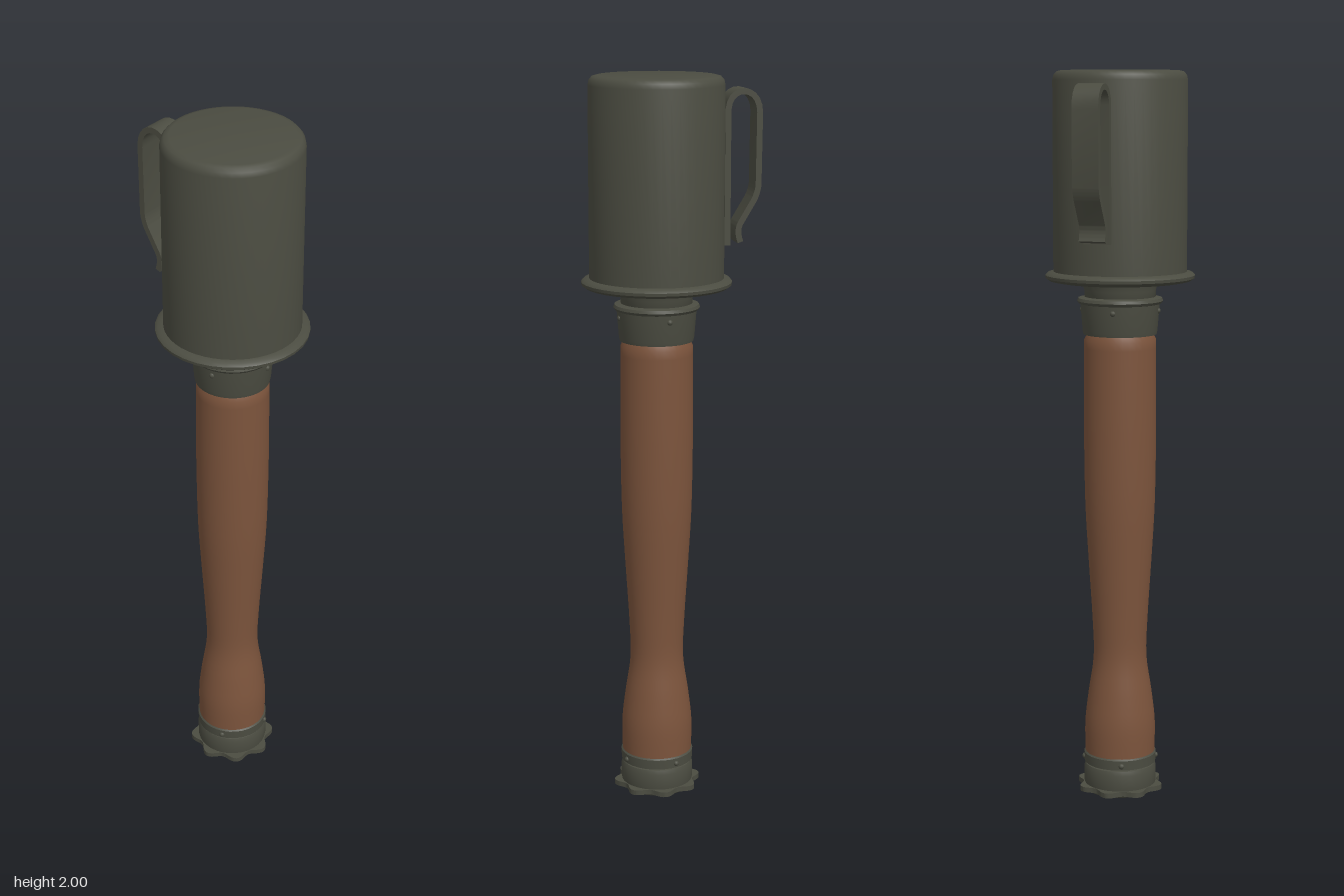
import * as THREE from 'three';
import { toCreasedNormals } from 'three/addons/utils/BufferGeometryUtils.js';

export function createModel() {
  const model = new THREE.Group();
  const body = new THREE.Group();
  body.position.set(0.009, 0, 0.009);
  body.name = 'body';
  model.add(body);

  const green = new THREE.MeshStandardMaterial({ color: 0x4b4c41 });
  green.name = 'olive grey metal';
  const wood = new THREE.MeshStandardMaterial({ color: 0x7c543c });
  wood.name = 'brown wood';

  const add = (name, geo, mat, parent = body) => {
    const mesh = new THREE.Mesh(geo, mat);
    mesh.name = name;
    parent.add(mesh);
    return mesh;
  };
  // Profile of [radius, height] pairs from bottom to top
  const turned = (name, pts, mat, segments = 32) =>
    add(name, toCreasedNormals(
      new THREE.LatheGeometry(pts.map(p => new THREE.Vector2(...p)), segments), 0.7), mat);

  // Cylindrical head with a rounded top edge
  turned('head', [[0, 1.45], [0.181, 1.45], [0.181, 1.975], [0.178, 1.988],
    [0.17, 1.997], [0.158, 2], [0, 2]], green, 48);
  turned('headFlange', [[0, 1.437], [0.17, 1.437], [0.192, 1.441], [0.202, 1.448],
    [0.203, 1.456], [0.196, 1.463], [0.18, 1.466]], green);

  // Neck and collar joining head to handle
  turned('neck', [[0.09, 1.38], [0.097, 1.39], [0.097, 1.415], [0.105, 1.44]], green);
  turned('collarRing', [[0.1, 1.376], [0.112, 1.379], [0.117, 1.386], [0.114, 1.394],
    [0.095, 1.398]], green);
  turned('collar', [[0.09, 1.295], [0.1, 1.295], [0.102, 1.305], [0.108, 1.378],
    [0.09, 1.38]], green);

  // Wooden handle with a narrow waist
  const outline = new THREE.SplineCurve([[0.097, 0.11], [0.098, 0.2], [0.088, 0.29],
    [0.074, 0.39], [0.077, 0.5], [0.087, 0.66], [0.096, 0.82], [0.099, 1.0],
    [0.099, 1.15], [0.098, 1.28]].map(p => new THREE.Vector2(...p)));
  turned('handle', [...outline.getPoints(36).map(p => [p.x, p.y]), [0.09, 1.297]], wood);

  // Ferrule and end cap
  turned('ferrule', [[0.09, 0.083], [0.1, 0.085], [0.101, 0.112], [0.095, 0.118],
    [0.08, 0.119]], green);
  turned('endCap', [[0, 0.012], [0.098, 0.015], [0.101, 0.03], [0.101, 0.068],
    [0.097, 0.08], [0.088, 0.083]], green);

  // Scalloped rim of the end cap
  const rim = new THREE.Shape();
  for (let i = 0; i < 96; i++) {
    const a = i / 96 * Math.PI * 2, r = 0.112 + 0.01 * Math.cos(8 * a);
    rim[i ? 'lineTo' : 'moveTo'](r * Math.cos(a), r * Math.sin(a));
  }
  const rimGeo = new THREE.ExtrudeGeometry(rim, { depth: 0.014, bevelEnabled: false });
  rimGeo.rotateX(-Math.PI / 2).translate(0, 0.01, 0);
  add('endCapRim', toCreasedNormals(rimGeo, 0.7), green);
  turned('endCapBase', [[0, 0], [0.085, 0], [0.095, 0.004], [0.1, 0.012]], green);

  // Small rivets around collar and ferrule
  const rivets = (name, y, r, start) => {
    for (let i = 0; i < 4; i++) {
      const a = start + i * Math.PI / 2;
      const rivet = add(name, new THREE.SphereGeometry(0.008, 10, 8), green);
      rivet.position.set(r * Math.sin(a), y, r * Math.cos(a));
    }
  };
  rivets('collarRivet', 1.36, 0.104, -0.65);
  rivets('ferruleRivet', 0.097, 0.099, -0.42);

  // Belt clip: a bent strap, [outward distance, height] along its middle line
  const path = new THREE.CurvePath();
  const v = (x, y) => new THREE.Vector2(x, y);
  path.add(new THREE.LineCurve(v(0.186, 1.55), v(0.186, 1.91)));
  path.add(new THREE.CubicBezierCurve(v(0.186, 1.91), v(0.19, 1.974), v(0.272, 1.974), v(0.272, 1.9)));
  path.add(new THREE.LineCurve(v(0.272, 1.9), v(0.27, 1.71)));
  path.add(new THREE.QuadraticBezierCurve(v(0.27, 1.71), v(0.268, 1.69), v(0.258, 1.67)));
  path.add(new THREE.LineCurve(v(0.258, 1.67), v(0.222, 1.61)));
  path.add(new THREE.QuadraticBezierCurve(v(0.222, 1.61), v(0.21, 1.59), v(0.222, 1.558)));
  const mid = path.getPoints(10);
  const half = 0.008;
  const side = s => mid.map((p, i) => {
    const t = mid[Math.min(i + 1, mid.length - 1)].clone().sub(mid[Math.max(i - 1, 0)]).normalize();
    return v(p.x - t.y * half * s, p.y + t.x * half * s);
  });
  const strap = new THREE.Shape([...side(1), ...side(-1).reverse()]);
  const clipGeo = new THREE.ExtrudeGeometry(strap, { depth: 0.072, bevelEnabled: false });
  clipGeo.translate(0, 0, -0.036);
  add('beltClip', toCreasedNormals(clipGeo, 0.6), green).rotation.y = 3 * Math.PI / 4;

  return model;
}
